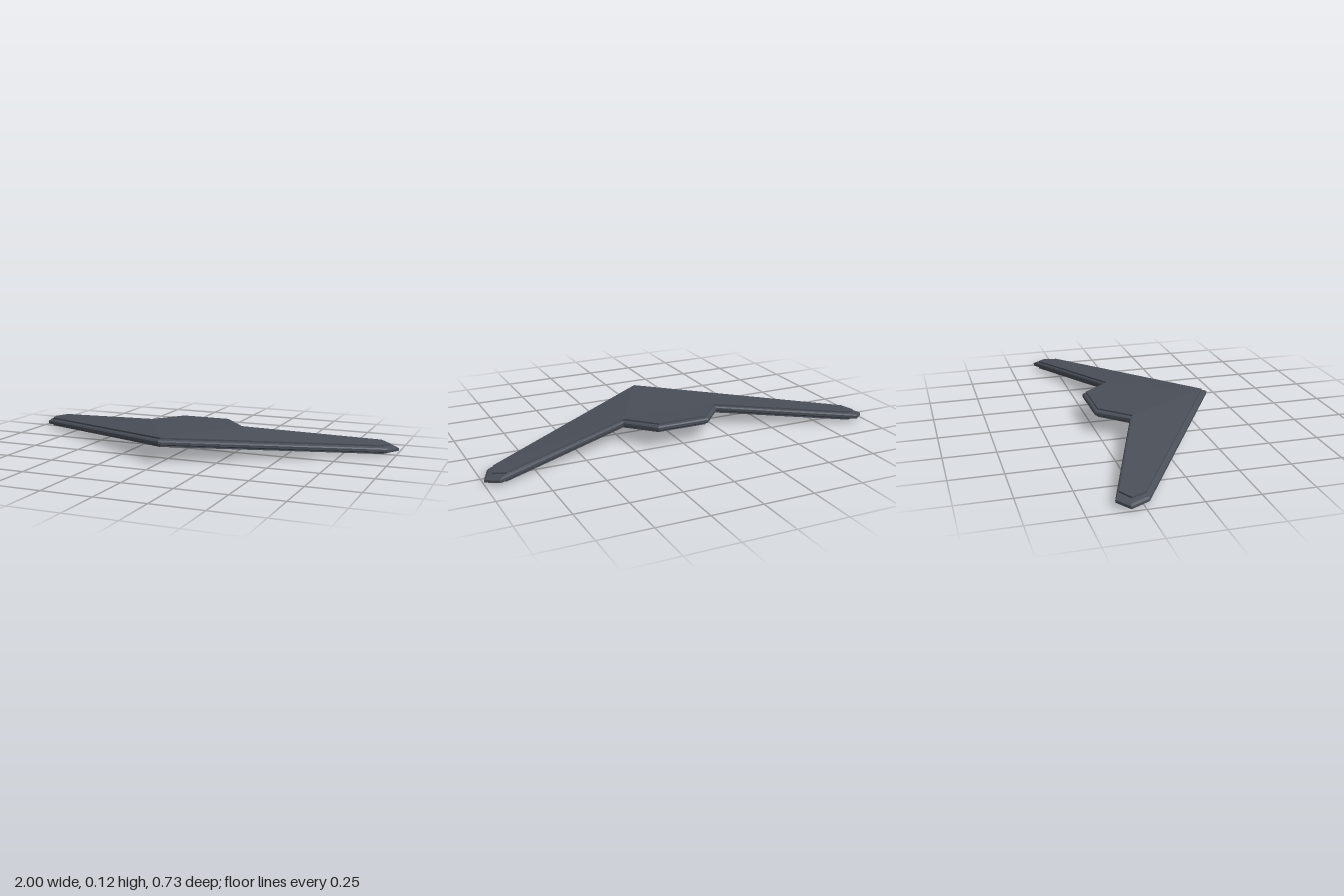
import * as THREE from 'three';

// Half outlines [x, z] from nose round the left wing to the rear centre
const INNER = [[0, 0.341], [0.935, -0.234], [0.96, -0.302], [0.907, -0.342], [0.25, -0.099], [0.125, -0.238]];
const OUTER = [[0, 0.367], [0.963, -0.228], [1, -0.315], [0.942, -0.367], [0.256, -0.113], [0.134, -0.256]];

// Cap triangles over the full 11-point outline
const CAP = [[0, 1, 4], [1, 3, 4], [1, 2, 3], [0, 4, 7], [4, 5, 6], [4, 6, 7], [0, 7, 10], [7, 8, 10], [8, 9, 10]];

// Full outline at a blend between inner and outer, drooping towards the wing tips
function ring(blend, height) {
  const half = INNER.map(([x, z], i) => [
    THREE.MathUtils.lerp(x, OUTER[i][0], blend),
    THREE.MathUtils.lerp(z, OUTER[i][1], blend),
  ]);
  const mirrored = half.slice(1).reverse().map(([x, z]) => [-x, z]);
  return [...half, ...mirrored].map(([x, z]) => [x, 0.0975 - 0.0815 * x * x + height, z]);
}

// Skin stacked rings from bottom to top, with optional caps
function skin(name, levels, material, capBottom, capTop) {
  const rings = levels.map(([blend, height]) => ring(blend, height));
  const n = rings[0].length;
  const index = [];
  for (let r = 0; r < rings.length - 1; r++) {
    for (let i = 0; i < n; i++) {
      const a = r * n + i, b = r * n + (i + 1) % n;
      index.push(a, b, b + n, a, b + n, a + n);
    }
  }
  const top = (rings.length - 1) * n;
  for (const [a, b, c] of CAP) {
    if (capBottom) index.push(a, c, b);
    if (capTop) index.push(top + a, top + b, top + c);
  }
  const geometry = new THREE.BufferGeometry();
  geometry.setAttribute('position', new THREE.Float32BufferAttribute(rings.flat(2), 3));
  geometry.setIndex(index);
  const flat = geometry.toNonIndexed();
  flat.computeVertexNormals();
  const mesh = new THREE.Mesh(flat, material);
  mesh.name = name;
  return mesh;
}

export function createModel() {
  const group = new THREE.Group();
  group.name = 'flyingWing';
  const material = new THREE.MeshStandardMaterial({ color: 0x4a4f58, flatShading: true });

  // Thin inset panels above and below a wider chamfered rim
  group.add(skin('upperPanel', [[0, 0.0145], [0, 0.0225]], material, false, true));
  group.add(skin('lowerPanel', [[0, -0.0225], [0, -0.0145]], material, true, false));
  group.add(skin('chamferedRim', [
    [0, -0.0145], [0.7, -0.0115], [1, -0.006], [1, 0.006], [0.7, 0.0115], [0, 0.0145],
  ], material, false, false));
  return group;
}
